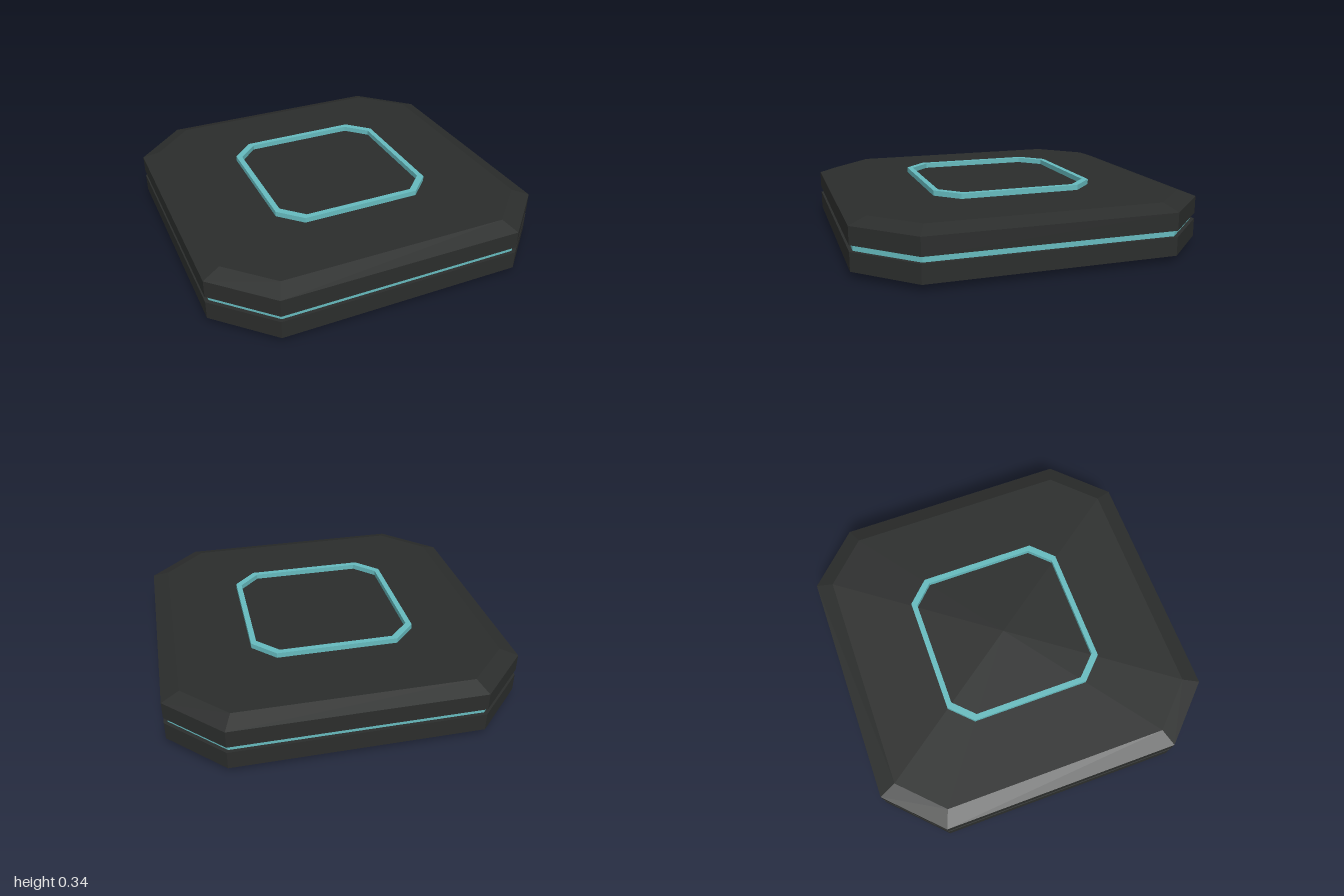
import * as THREE from 'three';

const dark = new THREE.MeshStandardMaterial({ color: 0x2b2d2c, flatShading: true });
const teal = new THREE.MeshStandardMaterial({ color: 0x66bbbf, flatShading: true });

// Square with cut corners: half is the half-width, flat is half the straight side
function octagon(half, flat) {
  return [[half, -flat], [half, flat], [flat, half], [-flat, half],
    [-half, flat], [-half, -flat], [-flat, -half], [flat, -half]];
}

// Closed solid through octagonal sections [half, flat, y], listed bottom to top
function slab(sections) {
  const pos = [];
  const loops = sections.map(([h, f, y]) => octagon(h, f).map(([x, z]) => [x, y, z]));
  const tri = (a, b, c) => pos.push(...a, ...b, ...c);
  const last = loops.length - 1;
  const bottom = [0, sections[0][2], 0];
  const top = [0, sections[last][2], 0];
  for (let i = 0; i < 8; i++) {
    const j = (i + 1) % 8;
    for (let k = 0; k < last; k++) {
      const lo = loops[k], hi = loops[k + 1];
      tri(lo[i], hi[i], lo[j]);
      tri(lo[j], hi[i], hi[j]);
    }
    tri(bottom, loops[0][i], loops[0][j]);
    tri(top, loops[last][j], loops[last][i]);
  }
  const geo = new THREE.BufferGeometry();
  geo.setAttribute('position', new THREE.Float32BufferAttribute(pos, 3));
  geo.computeVertexNormals();
  return geo;
}

// Raised octagonal frame with an open middle
function frame(outer, inner, y, height) {
  const points = (p) => octagon(...p).map(([x, z]) => new THREE.Vector2(x, z));
  const shape = new THREE.Shape(points(outer));
  shape.holes.push(new THREE.Path(points(inner)));
  const geo = new THREE.ExtrudeGeometry(shape, { depth: height, bevelEnabled: false });
  return geo.rotateX(-Math.PI / 2).translate(0, y, 0);
}

export function createModel() {
  const model = new THREE.Group();
  const add = (name, geo, mat) => {
    const mesh = new THREE.Mesh(geo, mat);
    mesh.name = name;
    model.add(mesh);
  };

  // Two bevelled shells separated by a narrow groove
  add('lowerShell', slab([[0.9, 0.66, 0], [1, 0.7, 0.035], [1, 0.7, 0.14]]), dark);
  add('upperShell', slab([[1, 0.7, 0.175], [1, 0.7, 0.275], [0.9, 0.66, 0.31]]), dark);

  // Coloured strip recessed in the groove
  add('seamStrip', slab([[0.98, 0.69, 0.14], [0.98, 0.69, 0.175]]), teal);

  // Thin raised frame on top
  add('topFrame', frame([0.477, 0.35], [0.445, 0.328], 0.31, 0.03), teal);

  return model;
}
